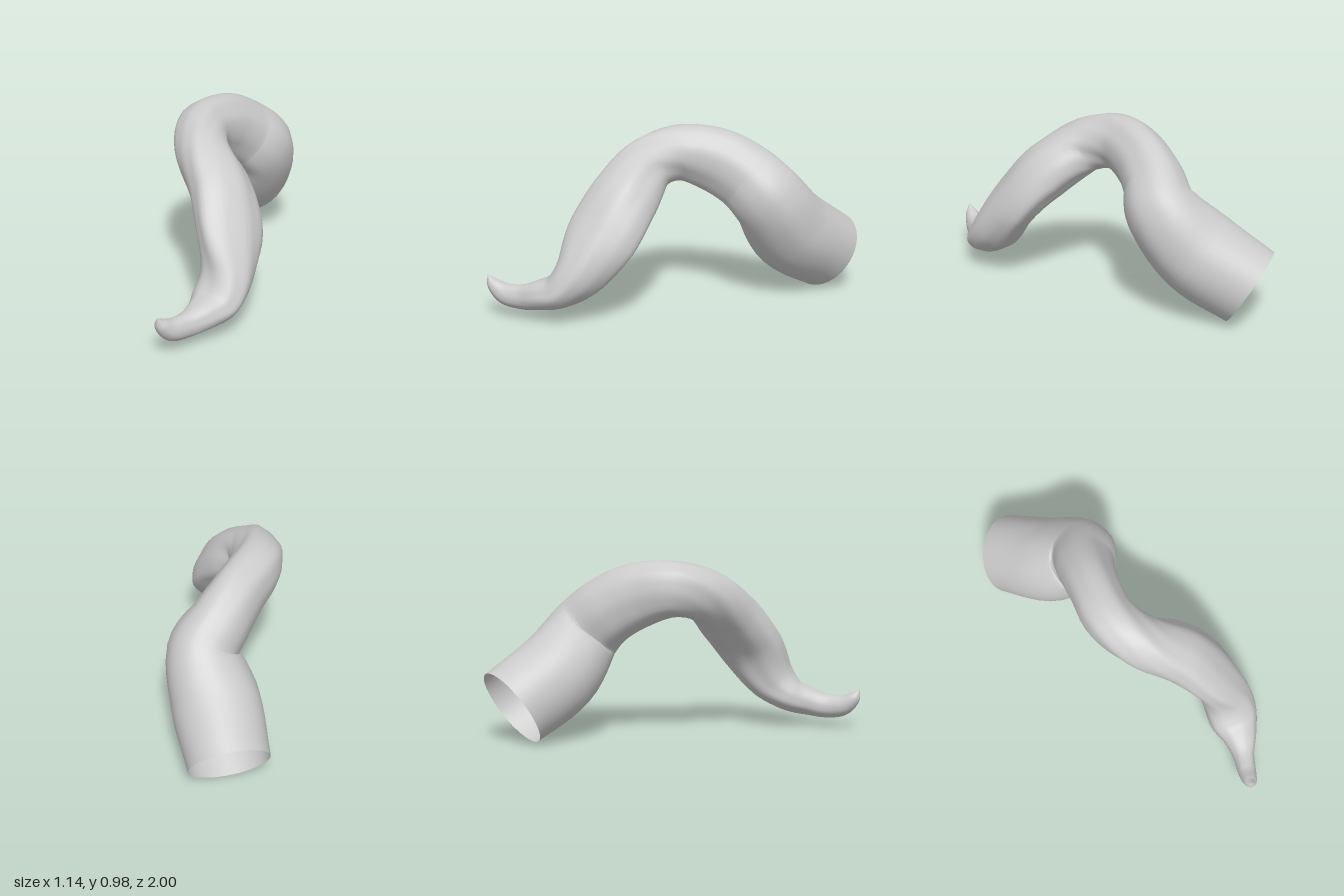
import * as THREE from 'three';

// Cross-sections from the open rim to the pointed tip:
// centre x, y, z, then sideways and upright radius, then roll about the path
const SECTIONS = [
  [-0.385, 0.185, -0.82, 0.215, 0.23, 0],
  [-0.19, 0.355, -0.62, 0.235, 0.24, 0],
  [-0.04, 0.57, -0.49, 0.19, 0.205, 0],
  [-0.065, 0.68, -0.37, 0.16, 0.19, 0],
  [-0.08, 0.77, -0.2, 0.14, 0.18, 0],
  [-0.07, 0.81, 0, 0.14, 0.155, 0],
  [0.03, 0.765, 0.155, 0.14, 0.15, 0.15],
  [0.235, 0.62, 0.265, 0.14, 0.185, 0.35],
  [0.37, 0.44, 0.37, 0.12, 0.195, 0.4],
  [0.43, 0.25, 0.49, 0.138, 0.135, 0.2],
  [0.435, 0.16, 0.6, 0.135, 0.095, 0],
  [0.43, 0.13, 0.7, 0.095, 0.08, 0],
  [0.41, 0.11, 0.8, 0.06, 0.068, 0],
  [0.388, 0.12, 0.9, 0.05, 0.058, 0],
  [0.375, 0.17, 0.965, 0.035, 0.035, 0],
  [0.375, 0.215, 0.99, 0.004, 0.004, 0],
];

// Sweeps a varying oval along a smooth path
function sweptSkin(sections, rings, sides) {
  const path = new THREE.CatmullRomCurve3(sections.map(s => new THREE.Vector3(s[0], s[1], s[2])));
  const ovals = new THREE.CatmullRomCurve3(sections.map(s => new THREE.Vector3(s[3], s[4], s[5])),
    false, 'catmullrom');
  const positions = [], indices = [];
  const side = new THREE.Vector3(), up = new THREE.Vector3(), p = new THREE.Vector3();

  for (let i = 0; i <= rings; i++) {
    const t = i / rings;
    const centre = path.getPoint(t), oval = ovals.getPoint(t), dir = path.getTangent(t);
    side.set(1, 0, 0).addScaledVector(dir, -dir.x).normalize().applyAxisAngle(dir, oval.z);
    up.crossVectors(dir, side);
    for (let j = 0; j < sides; j++) {
      const a = (j / sides) * Math.PI * 2;
      // shallow lengthwise folds, fading at both ends
      const fold = 1 + Math.sin(Math.PI * t) *
        (0.025 * Math.sin(5 * a + 4 * t) + 0.015 * Math.sin(9 * a - 7 * t));
      p.copy(centre)
        .addScaledVector(side, Math.cos(a) * oval.x * fold)
        .addScaledVector(up, Math.sin(a) * oval.y * fold);
      positions.push(p.x, p.y, p.z);
    }
  }
  for (let i = 0; i < rings; i++) {
    for (let j = 0; j < sides; j++) {
      const k = (j + 1) % sides;
      const a = i * sides + j, b = i * sides + k;
      indices.push(a, b, a + sides, b, b + sides, a + sides);
    }
  }
  // close the tip
  const tip = path.getPoint(1);
  positions.push(tip.x, tip.y + 0.004, tip.z + 0.002);
  const last = rings * sides;
  for (let j = 0; j < sides; j++) {
    indices.push(last + j, last + ((j + 1) % sides), last + sides);
  }

  const geometry = new THREE.BufferGeometry();
  geometry.setAttribute('position', new THREE.Float32BufferAttribute(positions, 3));
  geometry.setIndex(indices);
  geometry.computeVertexNormals();
  return geometry;
}

export function createModel() {
  const group = new THREE.Group();
  group.name = 'curvedHorn';
  // one hollow skin, open at the wide end
  const skin = new THREE.Mesh(
    sweptSkin(SECTIONS, 90, 40),
    new THREE.MeshStandardMaterial({ color: 0xcccccc, side: THREE.DoubleSide }));
  skin.name = 'hornSkin';
  group.add(skin);
  return group;
}
